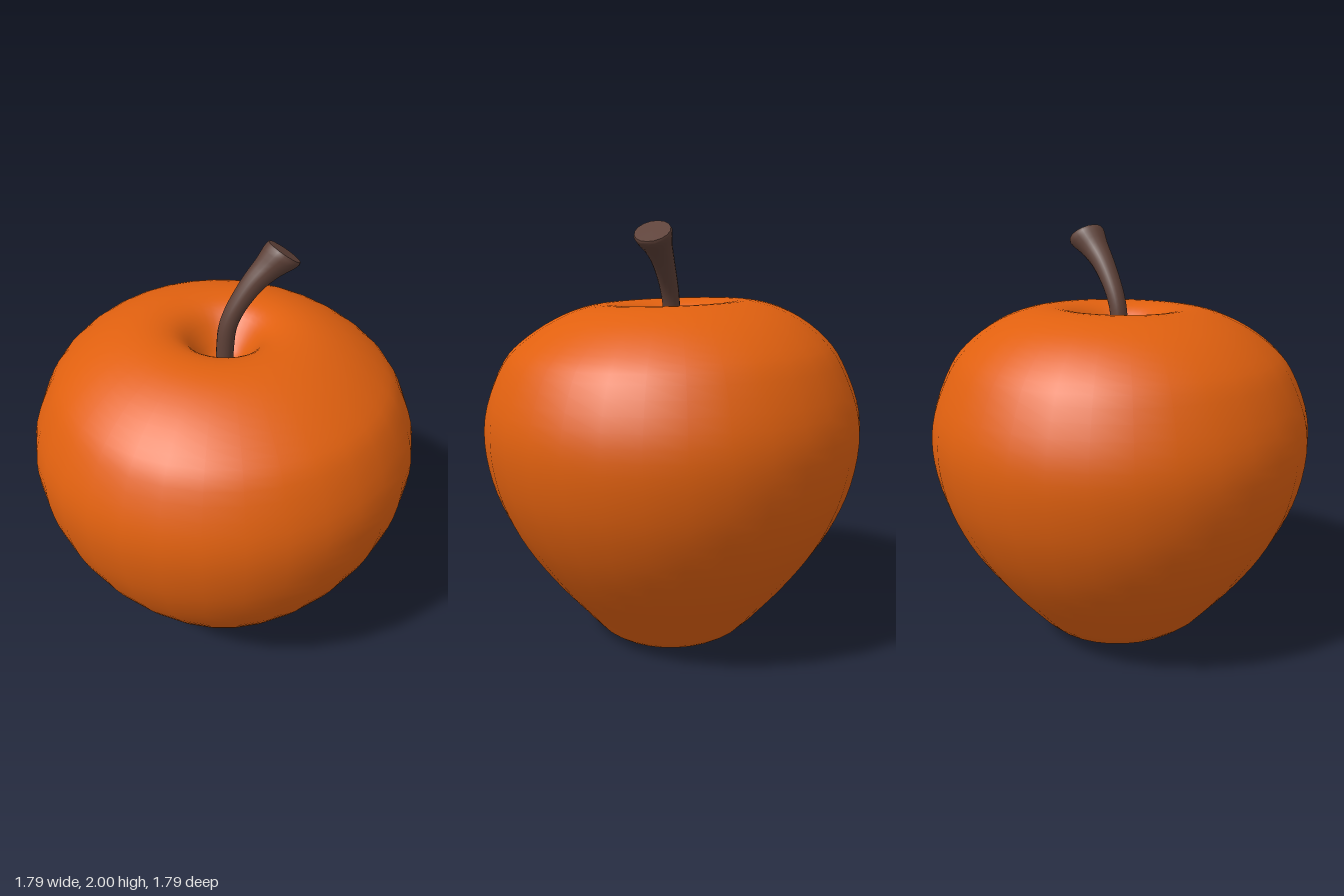
import * as THREE from 'three';
import { mergeVertices, toCreasedNormals } from 'three/addons/utils/BufferGeometryUtils.js';

// Moves every vertex by a rule, then welds seams and smooths the normals
function reshape(geometry, rule, crease) {
  const pos = geometry.attributes.position;
  const v = new THREE.Vector3();
  for (let i = 0; i < pos.count; i++) {
    rule(v.fromBufferAttribute(pos, i));
    pos.setXYZ(i, v.x, v.y, v.z);
  }
  geometry.deleteAttribute('uv');
  geometry.deleteAttribute('normal');
  const welded = mergeVertices(geometry, 1e-4);
  if (crease) return toCreasedNormals(welded, crease);
  welded.computeVertexNormals();
  return welded;
}

function makeFruit() {
  // Radius and height, from the nub underneath to the bottom of the stem hollow
  const profile = new THREE.SplineCurve([
    [0, 0.035], [0.035, 0.04], [0.06, 0.075], [0.11, 0.07], [0.165, 0.025], [0.22, 0.017],
    [0.34, 0.052], [0.41, 0.11], [0.465, 0.17], [0.585, 0.31], [0.71, 0.48],
    [0.80, 0.64], [0.865, 0.815], [0.895, 1.01], [0.875, 1.18], [0.80, 1.36],
    [0.72, 1.46], [0.60, 1.55], [0.47, 1.61], [0.35, 1.635], [0.25, 1.625],
    [0.18, 1.585], [0.12, 1.51], [0.07, 1.45], [0, 1.43],
  ].map(([r, y]) => new THREE.Vector2(r, y)));
  const points = profile.getPoints(72);
  points.forEach((p) => { p.x = Math.max(p.x, 0); });

  // Slightly uneven foot and crown
  return reshape(new THREE.LatheGeometry(points, 32), (v) => {
    const foot = Math.max(0, 1 - v.y / 0.14);
    const crown = THREE.MathUtils.smoothstep(v.y, 1.3, 1.6);
    v.y += -0.07 * v.x * foot - (0.015 * v.x + 0.03 * v.z) * crown;
  });
}

function makeStem() {
  // x and y of the centre line, with the radius stored as z
  const path = new THREE.CatmullRomCurve3([
    [0, 1.4, 0.04], [0.005, 1.52, 0.04], [0.015, 1.62, 0.041], [0.04, 1.69, 0.043],
    [0.085, 1.765, 0.047], [0.14, 1.835, 0.054], [0.2, 1.89, 0.066],
    [0.262, 1.942, 0.086], [0.27, 1.953, 0.082],
  ].map((p) => new THREE.Vector3(...p)));

  // Bend a cylinder along the path, leaning its sections toward the tip
  return reshape(new THREE.CylinderGeometry(1, 1, 1, 16, 24), (v) => {
    const t = v.y + 0.5;
    const c = path.getPoint(THREE.MathUtils.clamp(t, 0, 1));
    const lean = 0.6 * THREE.MathUtils.smoothstep(t, 0.1, 0.8);
    v.set(c.x + v.x * c.z * Math.cos(lean), c.y - v.x * c.z * Math.sin(lean), v.z * c.z);
  }, 0.7);
}

export function createModel() {
  const group = new THREE.Group();
  group.name = 'apple';
  const add = (name, geometry, color) => {
    const mesh = new THREE.Mesh(geometry, new THREE.MeshStandardMaterial({ color }));
    mesh.name = name;
    group.add(mesh);
  };
  add('fruit', makeFruit(), 0xe0600f);
  add('stem', makeStem(), 0x5d4037);
  return group;
}
